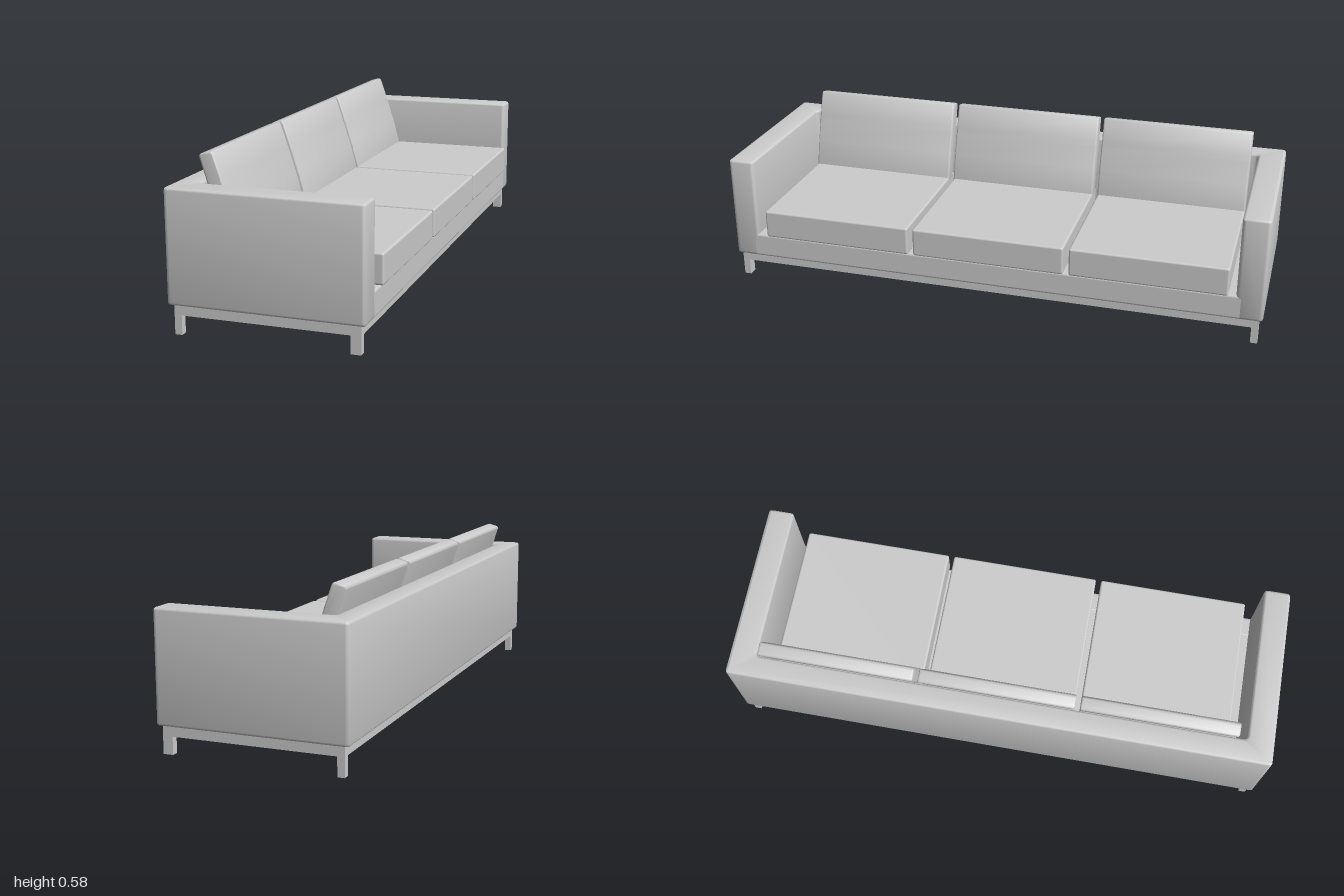
import * as THREE from 'three';
import { toCreasedNormals } from 'three/addons/utils/BufferGeometryUtils.js';
import { RoundedBoxGeometry } from 'three/addons/geometries/RoundedBoxGeometry.js';

const material = new THREE.MeshStandardMaterial({ color: 0xcccccc });

export function createModel() {
  const sofa = new THREE.Group();
  sofa.name = 'sofa';

  function add(name, geometry, parent = sofa) {
    const mesh = new THREE.Mesh(geometry, material);
    mesh.name = name;
    parent.add(mesh);
    return mesh;
  }

  // Box given by its low and high corners; a radius rounds its edges
  function box(name, [x0, y0, z0], [x1, y1, z1], radius = 0, parent = sofa) {
    const size = [x1 - x0, y1 - y0, z1 - z0];
    const geometry = radius
      ? new RoundedBoxGeometry(...size, 3, radius)
      : new THREE.BoxGeometry(...size);
    const mesh = add(name, geometry, parent);
    mesh.position.set((x0 + x1) / 2, (y0 + y1) / 2, (z0 + z1) / 2);
    return mesh;
  }

  // Closed outline with every corner rounded
  function roundedOutline(points, radius) {
    const shape = new THREE.Shape();
    const corners = points.map((p) => new THREE.Vector2(...p));
    corners.forEach((c, i) => {
      const prev = corners[(i + corners.length - 1) % corners.length];
      const next = corners[(i + 1) % corners.length];
      const a = c.clone().add(prev.clone().sub(c).setLength(radius));
      const b = c.clone().add(next.clone().sub(c).setLength(radius));
      if (i === 0) shape.moveTo(a.x, a.y);
      else shape.lineTo(a.x, a.y);
      shape.quadraticCurveTo(c.x, c.y, b.x, b.y);
    });
    shape.closePath();
    return shape;
  }

  // Extrusion with soft edges, running from 0 to length along z
  function softExtrude(shape, length, bevel) {
    const geometry = new THREE.ExtrudeGeometry(shape, {
      depth: length - 2 * bevel, bevelEnabled: true, bevelSize: bevel,
      bevelThickness: bevel, bevelOffset: -bevel, bevelSegments: 3, curveSegments: 4,
    });
    geometry.translate(0, 0, bevel);
    return toCreasedNormals(geometry, 0.6);
  }

  // Back and both arms as one U-shaped upholstered wall (outline in x, -z)
  const back = -0.343, front = 0.328, inner = -0.26, end = 1, armInner = 0.902;
  const plan = roundedOutline([
    [back, -end], [front, -end], [front, -armInner], [inner, -armInner],
    [inner, armInner], [front, armInner], [front, end], [back, end],
  ], 0.014);
  const wall = add('backAndArms', softExtrude(plan, 0.387, 0.01));
  wall.rotation.x = -Math.PI / 2;
  wall.position.y = 0.1;

  // Front apron and the thin deck under the cushions
  box('frontApron', [0.25, 0.1, -0.93], [front, 0.192, 0.93], 0.01);
  box('seatDeck', [-0.28, 0.178, -0.92], [0.3, 0.19, 0.92]);

  // Three seat cushions with leaning back cushions
  const backProfile = roundedOutline([
    [-0.198, 0.285], [-0.144, 0.285], [-0.17, 0.385], [-0.203, 0.487],
    [-0.236, 0.583], [-0.285, 0.57],
  ], 0.012);
  const backGeometry = softExtrude(backProfile, 0.567, 0.006);
  for (const z of [-0.593, -0.007, 0.579]) {
    box('seatCushion', [-0.22, 0.192, z - 0.283], [0.341, 0.298, z + 0.283], 0.008);
    add('backCushion', backGeometry).position.z = z - 0.2835;
  }

  // Base frame: perimeter rails and four legs
  const base = new THREE.Group();
  base.name = 'base';
  sofa.add(base);
  const x0 = -0.323, x1 = 0.31, z1 = 0.987, t = 0.025;
  box('backRail', [x0, 0.066, -z1], [x0 + t, 0.104, z1], 0, base);
  box('frontRail', [x1 - t, 0.066, -z1], [x1, 0.104, z1], 0, base);
  for (const side of [-1, 1]) {
    const lo = side > 0 ? z1 - t : -z1;
    box('sideRail', [x0 + t, 0.066, lo], [x1 - t, 0.104, lo + t], 0, base);
    box('backLeg', [x0, 0, lo], [x0 + t, 0.066, lo + t], 0, base);
    box('frontLeg', [x1 - 0.035, 0.005, lo], [x1, 0.066, lo + t], 0, base);
  }
  return sofa;
}
